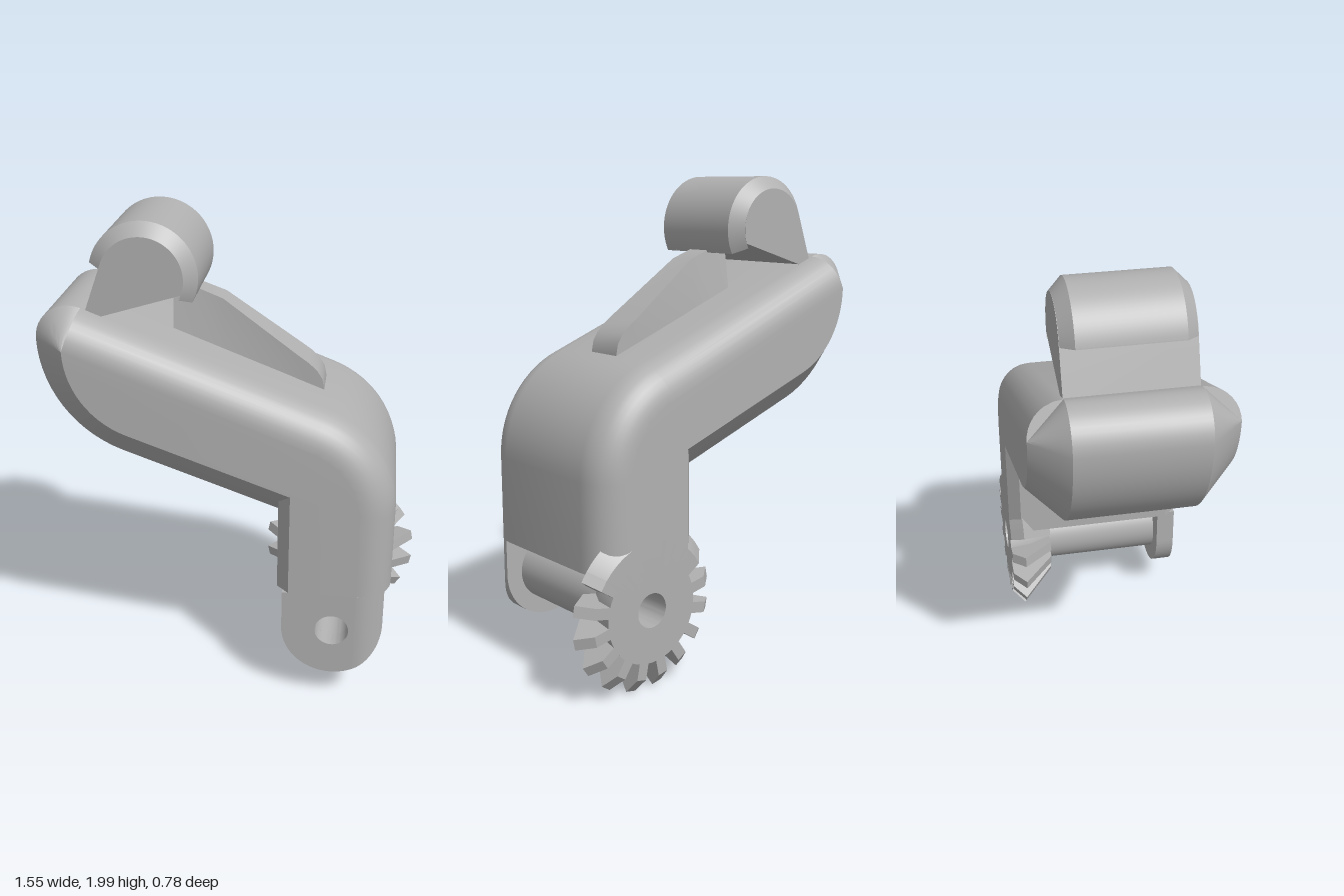
import * as THREE from 'three';
import { toCreasedNormals } from 'three/addons/utils/BufferGeometryUtils.js';

const rad = THREE.MathUtils.degToRad;
const AXLE = [0.435, 0.345];      // axle centre (x, y)
const KNOB = [-0.35, 1.785];      // knuckle centre (x, y)

export function createModel() {
  const group = new THREE.Group();
  const grey = new THREE.MeshStandardMaterial({ color: 0xb0b0b0 });
  grey.name = 'plain grey';

  const add = (name, geometry) => {
    const flat = geometry.index ? geometry.toNonIndexed() : geometry;
    const mesh = new THREE.Mesh(toCreasedNormals(flat, 0.5), grey);
    mesh.name = name;
    group.add(mesh);
    return mesh;
  };

  // Skin over a row of closed sections; optional flat caps facing -z / +z
  const loft = (sections, capped = false) => {
    const n = sections[0].length, index = [];
    for (let i = 0; i < sections.length - 1; i++) {
      for (let j = 0; j < n; j++) {
        const a = i * n + j, b = i * n + (j + 1) % n;
        index.push(a, b, b + n, a, b + n, a + n);
      }
    }
    if (capped) {
      const last = (sections.length - 1) * n, keep = [];
      const ring = sections[0].map(([x, y]) => new THREE.Vector2(x, y));
      ring.forEach((p, j) => {
        if (!keep.length || p.distanceTo(ring[keep[keep.length - 1]]) > 1e-4) keep.push(j);
      });
      for (const t of THREE.ShapeUtils.triangulateShape(keep.map((j) => ring[j]), [])) {
        const [a, b, c] = t.map((k) => keep[k]);
        index.push(a, c, b, last + a, last + b, last + c);
      }
    }
    const g = new THREE.BufferGeometry();
    g.setAttribute('position', new THREE.Float32BufferAttribute(sections.flat(2), 3));
    g.setIndex(index);
    return g;
  };

  // Bent body: each outline point has a middle position, a side-face position and an edge style
  const fillet = (t) => 1 - Math.sqrt(1 - t * t);
  const chamfer = (t) => t;
  const arc = (cx, cy, r, rFace, a0, a1, steps, f) =>
    Array.from({ length: steps + 1 }, (_, i) => {
      const a = rad(a0 + (a1 - a0) * i / steps), c = Math.cos(a), s = Math.sin(a);
      return { p: [cx + r * c, cy + r * s], q: [cx + rFace * c, cy + rFace * s], fx: f, fy: f };
    });
  const clipped = (t) => Math.max(0, (t - 0.64) / 0.36);
  const outline = [
    { p: [0.67, 0.515], q: [0.53, 0.515], fx: fillet, fy: fillet },
    ...arc(0.22, 0.87, 0.45, 0.31, 0, 70, 14, fillet),
    ...arc(-0.64, 1.53, 0.14, 0, 70, 70, 1, fillet).slice(0, 1),
    ...arc(-0.64, 1.53, 0.14, 0, 70, 180, 12, chamfer),
    ...arc(-0.28, 1.53, 0.5, 0.36, 180, 250, 14, chamfer),
    { p: [0.2, 0.83], q: [0.25, 0.96], fx: clipped, fy: chamfer },
    { p: [0.2, 0.515], q: [0.25, 0.515], fx: clipped, fy: chamfer },
  ];
  const layers = [0, 0.26, 0.5, 0.64, 0.77, 0.87, 0.94, 0.985, 1];
  const section = (t, side) => outline.map(({ p, q, fx, fy }) => [
    p[0] + (q[0] - p[0]) * fx(t),
    p[1] + (q[1] - p[1]) * fy(t),
    side * (0.25 + 0.14 * t),
  ]);
  add('body', loft([
    ...layers.slice().reverse().map((t) => section(t, -1)),
    ...layers.map((t) => section(t, 1)),
  ], true));

  // Front leg plate with the axle hole
  const [ax, ay] = AXLE, legR = 0.21, split = 0.53;
  const leg = new THREE.Shape();
  leg.moveTo(split, 0.515);
  leg.lineTo(ax - legR, 0.515);
  leg.lineTo(ax - legR, ay);
  leg.absarc(ax, ay, legR, Math.PI, 2 * Math.PI - Math.acos((split - ax) / legR), false);
  leg.closePath();
  const hole = new THREE.Path();
  hole.absarc(ax, ay, 0.07, 0, Math.PI * 2, true);
  leg.holes.push(hole);
  add('frontLeg', new THREE.ExtrudeGeometry(leg, { depth: 0.08, bevelEnabled: false, curveSegments: 32 })
    .translate(0, 0, 0.31));

  // Rounded outer edge of the leg, continuing the body's fillet
  const edge = [];
  for (let i = 0; i <= 12; i++) {
    const x = split + (ax + legR - split) * Math.sin(i / 12 * Math.PI / 2);
    const low = ay - Math.sqrt(Math.max(0, legR ** 2 - (x - ax) ** 2));
    const z = 0.25 + Math.sqrt(0.14 ** 2 - (x - split) ** 2);
    edge.push([[x, 0.515, 0.31], [x, 0.515, z], [x, low, z], [x, low, 0.31]]);
  }
  edge.push(edge[12].map(([x, y]) => [x, y, 0.31]));
  add('frontLegRoundedEdge', loft(edge));

  // Turned parts around z; profiles are (radius, z), angles in degrees from +x
  const revolve = (name, profile, [cx, cy], from = 0, to = 360) => {
    const pts = [...profile, profile[0]].map(([r, z]) => new THREE.Vector2(r, z));
    add(name, new THREE.LatheGeometry(pts, 48, rad(from + 90), rad(to - from))
      .rotateX(Math.PI / 2).translate(cx, cy, 0));
  };
  // Plate with a (radius, z) profile standing at an angle
  const radialPlate = (name, profile, width, angle, [cx, cy]) => {
    const shape = new THREE.Shape(profile.map(([r, z]) => new THREE.Vector2(r, z)));
    add(name, new THREE.ExtrudeGeometry(shape, { depth: width, bevelEnabled: false })
      .translate(0, 0, -width / 2).rotateX(Math.PI / 2).rotateZ(rad(angle)).translate(cx, cy, 0));
  };

  // Axle and bevel gear
  revolve('axle', [[0.07, -0.25], [0.138, -0.25], [0.138, 0.32], [0.07, 0.32]], AXLE);
  revolve('gearHub', [[0.07, -0.39], [0.215, -0.39], [0.2, -0.3], [0.138, -0.2], [0.07, -0.2]], AXLE);
  const tooth = [[0.12, -0.39], [0.28, -0.39], [0.342, -0.335], [0.2, -0.2], [0.12, -0.2]];
  for (let k = 6; k <= 17; k++) radialPlate('gearTooth', tooth, 0.045, (k + 0.5) * 22.5, AXLE);
  revolve('gearUpperFlange', tooth, AXLE, 33.75, 146.25);

  // Knuckle stem with rounded top
  const [kx, ky] = KNOB, stem = new THREE.Shape();
  const foot = (deg) => [
    kx + 0.165 * Math.cos(rad(deg)) - 0.25 * Math.cos(rad(70)),
    ky + 0.165 * Math.sin(rad(deg)) - 0.25 * Math.sin(rad(70)),
  ];
  stem.moveTo(...foot(-20));
  stem.absarc(kx, ky, 0.165, rad(-20), rad(160), false);
  stem.lineTo(...foot(160));
  stem.closePath();
  add('knuckleStem', new THREE.ExtrudeGeometry(stem, { depth: 0.5, bevelEnabled: false, curveSegments: 24 })
    .translate(0, 0, -0.25));

  // Chamfered sleeve wrapped over the stem
  const sleeve = [[0.164, -0.25], [0.215, -0.2], [0.215, 0.2], [0.164, 0.25]];
  revolve('knuckleSleeve', sleeve, KNOB, -27, 167);
  for (const a of [-27, 167]) radialPlate('knuckleSleeveEnd', sleeve, 0.004, a, KNOB);

  // Tapered rib: x, top height, top half width
  const rib = [
    [-0.26, 1.71, 0.05], [-0.18, 1.705, 0.05], [-0.06, 1.66, 0.055], [0.25, 1.44, 0.08],
    [0.29, 1.412, 0.08], [0.325, 1.38, 0.08], [0.347, 1.345, 0.08], [0.356, 1.3, 0.08],
  ].map(([x, y, w]) => {
    const base = 1.41 - 0.364 * x;
    return [[x, y, -w], [x, y, w], [x, base, 0.08], [x, base, -0.08]];
  });
  rib.push(rib[7].map(([x, , z]) => [x, 1.26, z]));
  add('rib', loft(rib));

  return group;
}
